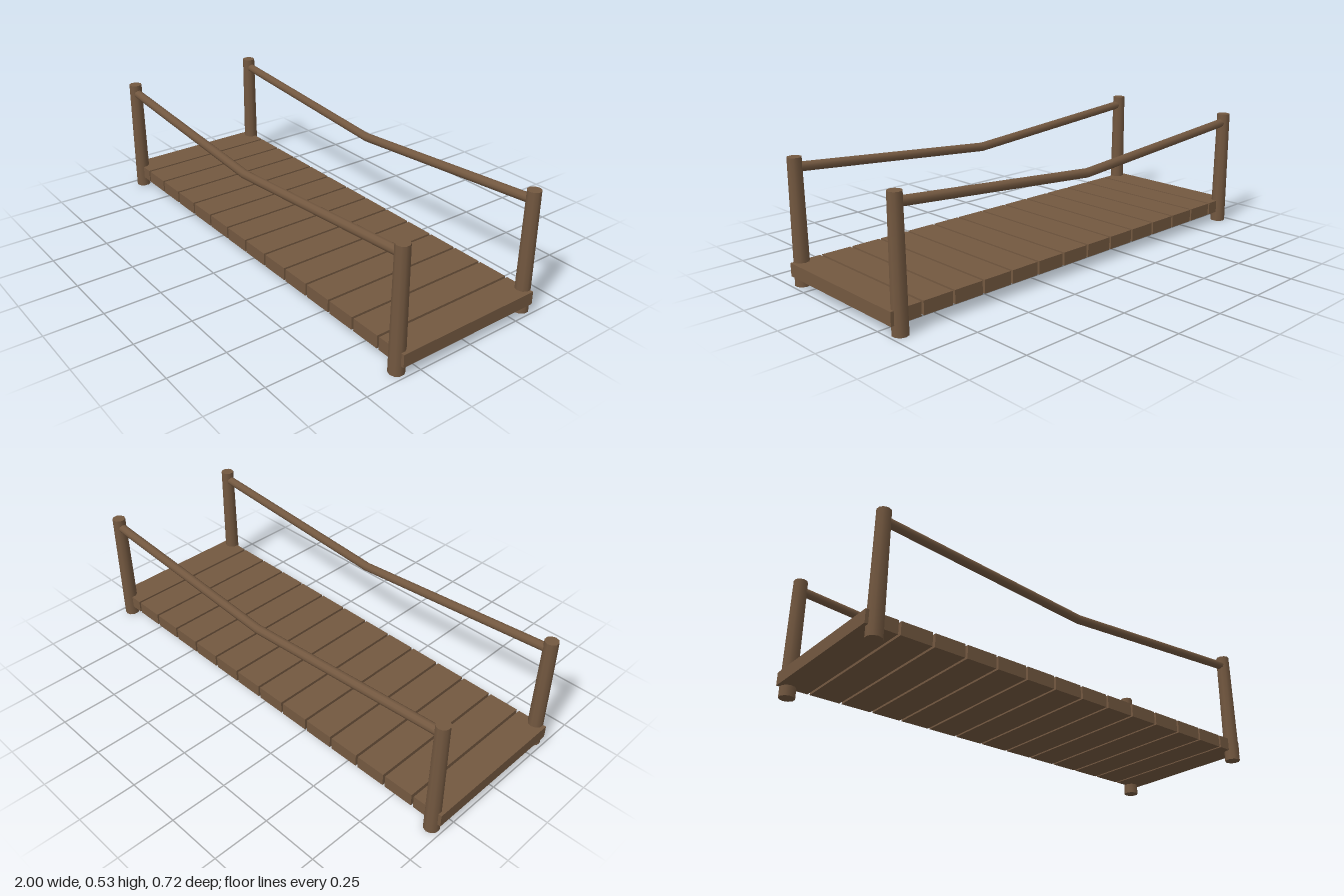
import * as THREE from 'three';

export function createModel() {
  const bridge = new THREE.Group();
  bridge.name = 'footbridge';
  const wood = new THREE.MeshStandardMaterial({ color: 0x735840 });
  wood.name = 'brown wood';

  const add = (name, geometry, x, y, z) => {
    const mesh = new THREE.Mesh(geometry, wood);
    mesh.name = name;
    mesh.position.set(x, y, z);
    bridge.add(mesh);
  };

  // Deck planks with narrow gaps
  const count = 14, width = 0.133, step = (2 - width) / (count - 1);
  const plank = new THREE.BoxGeometry(width, 0.056, 0.67);
  for (let i = 0; i < count; i++) {
    add('plank', plank, (i - (count - 1) / 2) * step, 0.073, 0);
  }

  // Handrail: a straight rod whose middle ring is lowered into a shallow V
  const postX = 0.955, sideZ = 0.326;
  const rail = new THREE.CylinderGeometry(0.0195, 0.0195, postX * 2, 10, 2);
  rail.rotateZ(Math.PI / 2);
  const p = rail.attributes.position;
  for (let i = 0; i < p.count; i++) {
    p.setY(i, p.getY(i) + 0.075 * Math.abs(p.getX(i)) / postX);
  }

  // Tapered corner posts and one rail on each side
  const post = new THREE.CylinderGeometry(0.029, 0.033, 0.526, 10);
  for (const side of [-1, 1]) {
    add('handrail', rail, 0, 0.41, side * sideZ);
    for (const end of [-1, 1]) add('post', post, end * postX, 0.263, side * sideZ);
  }
  return bridge;
}
